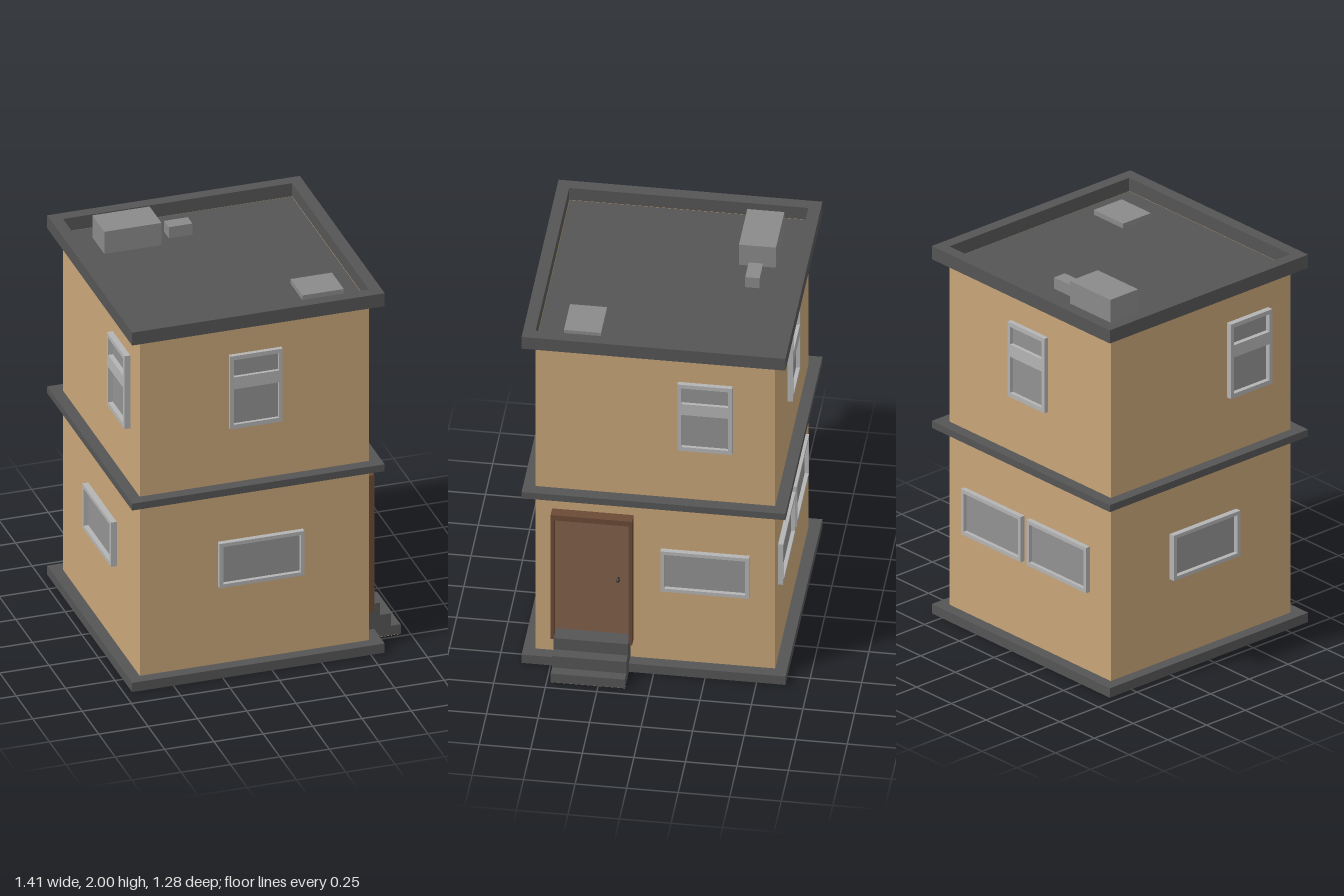
import * as THREE from 'three';

const X0 = -0.65, X1 = 0.51, Z = 0.58, CX = (X0 + X1) / 2, W = X1 - X0;
const ROOF = 1.88;
const mat = (color, side = THREE.FrontSide) => new THREE.MeshStandardMaterial({ color, side });
const M = {
  wall: mat(0xc8a578, THREE.DoubleSide),
  trim: mat(0x555555),
  frame: mat(0xb4b4b4),
  glass: mat(0x929292),
  vent: mat(0x8a8a8a),
  door: mat(0x80604a),
  doorFrame: mat(0x6b4a36),
  knob: mat(0x333333),
};

function add(parent, name, geo, material, x = 0, y = 0, z = 0) {
  const m = new THREE.Mesh(geo, material);
  m.name = name;
  m.position.set(x, y, z);
  parent.add(m);
  return m;
}

// box given by its minimum and maximum corners
function box(parent, name, material, a, b) {
  const s = b.map((v, i) => v - a[i]);
  return add(parent, name, new THREE.BoxGeometry(...s), material,
    (a[0] + b[0]) / 2, (a[1] + b[1]) / 2, (a[2] + b[2]) / 2);
}

function rect(C, x0, y0, x1, y1) {
  return new C([[x0, y0], [x1, y0], [x1, y1], [x0, y1]].map(p => new THREE.Vector2(...p)));
}

// rectangular plate with rectangular openings, extruded along +z
function plate(outer, holes, depth) {
  const s = rect(THREE.Shape, ...outer);
  holes.forEach(h => s.holes.push(rect(THREE.Path, ...h)));
  return new THREE.ExtrudeGeometry(s, { depth, bevelEnabled: false });
}

// horizontal trim running round the house
function band(parent, name, y0, y1, gap) {
  const o = 0.06;
  const geo = plate([X0 - o, -Z - o, X1 + o, Z + o], [[X0 - gap, -Z - gap, X1 + gap, Z + gap]], y1 - y0);
  geo.rotateX(-Math.PI / 2);
  add(parent, name, geo, M.trim, 0, y0, 0);
}

// window facing +z, centred on its own x = 0; the sash type has two panes
function windowUnit(name, sash, depth) {
  const g = new THREE.Group();
  g.name = name;
  const w = sash ? 0.133 : 0.215, y0 = sash ? 1.32 : 0.47, y1 = sash ? 1.715 : 0.71;
  const b = 0.019;
  const holes = sash
    ? [[-w + b, y0 + 0.023, w - b, 1.535], [-w + b, 1.6, w - b, y1 - 0.022]]
    : [[-w + b, y0 + b, w - b, y1 - b]];
  add(g, 'windowFrame', plate([-w, y0, w, y1], holes, depth), M.frame);
  holes.forEach(([a, c, d, e]) => add(g, 'windowPane',
    new THREE.PlaneGeometry(d - a, e - c), M.glass, (a + d) / 2, (c + e) / 2, 0.006));
  return g;
}

export function createModel() {
  const house = new THREE.Group();
  house.name = 'house';

  // walls, open underneath
  const walls = new THREE.Group();
  walls.name = 'walls';
  house.add(walls);
  const sides = [
    ['frontWall', W, CX, Z, 0], ['backWall', W, CX, -Z, Math.PI],
    ['leftWall', 2 * Z, X1, 0, Math.PI / 2], ['rightWall', 2 * Z, X0, 0, -Math.PI / 2],
  ];
  for (const [name, w, x, z, turn] of sides) {
    add(walls, name, new THREE.PlaneGeometry(w, ROOF), M.wall, x, ROOF / 2, z).rotation.y = turn;
  }

  // trim bands and sunken roof
  band(house, 'baseTrim', 0, 0.05, 0.002);
  band(house, 'middleTrim', 0.985, 1.022, 0.002);
  band(house, 'roofParapet', ROOF, 1.95, 0);
  box(house, 'roofDeck', M.trim, [X0 + 0.002, ROOF - 0.02, -Z + 0.002], [X1 - 0.002, ROOF, Z - 0.002]);

  // rooftop fittings
  box(house, 'roofUnit', M.vent, [-0.535, ROOF, -0.48], [-0.245, 2, -0.3]);
  box(house, 'roofVent', M.vent, [-0.19, ROOF, -0.425], [-0.07, 1.94, -0.355]);
  box(house, 'roofHatch', M.vent, [0.215, ROOF, 0.275], [0.425, 1.905, 0.455]);

  // windows: name, two panes, x, z, turn, depth
  const H = Math.PI / 2;
  const windows = [
    ['frontUpperWindow', true, -0.067, Z, 0, 0.022],
    ['frontLowerWindow', false, -0.04, Z, 0, 0.027],
    ['backUpperWindow', true, -0.067, -Z, 2 * H, 0.025],
    ['backLowerWindowA', false, 0.185, -Z, 2 * H, 0.025],
    ['backLowerWindowB', false, -0.285, -Z, 2 * H, 0.025],
    ['leftUpperWindow', true, X1, -0.243, H, 0.022],
    ['leftLowerWindow', false, X1, -0.243, H, 0.025],
    ['rightUpperWindow', true, X0, 0.303, -H, 0.03],
    ['rightLowerWindow', false, X0, 0.015, -H, 0.03],
  ];
  for (const [name, sash, x, z, turn, depth] of windows) {
    const g = windowUnit(name, sash, depth);
    g.position.set(x, 0, z);
    g.rotation.y = turn;
    house.add(g);
  }

  // door with surround and knob
  const door = new THREE.Group();
  door.name = 'door';
  house.add(door);
  box(door, 'doorPanel', M.door, [X1, 0.155, 0.12], [X1 + 0.008, 0.87, 0.485]);
  box(door, 'doorHead', M.doorFrame, [X1, 0.865, 0.105], [0.565, 0.895, 0.5]);
  for (const [z0, z1] of [[0.105, 0.121], [0.484, 0.5]]) {
    box(door, 'doorJamb', M.doorFrame, [X1, 0.155, z0], [0.565, 0.865, z1]);
  }
  const stem = add(door, 'knobStem', new THREE.CylinderGeometry(0.005, 0.005, 0.025, 10), M.knob, 0.528, 0.52, 0.177);
  stem.rotation.z = H;
  add(door, 'doorKnob', new THREE.SphereGeometry(0.01, 12, 8), M.knob, 0.542, 0.52, 0.177);

  // stepped entrance: one stair profile extruded across the door width
  const profile = [[X1, 0.001], [0.705, 0.001], [0.705, 0.052], [0.655, 0.052], [0.655, 0.12],
    [0.6, 0.12], [0.6, 0.187], [X1, 0.187]].map(p => new THREE.Vector2(...p));
  const steps = new THREE.ExtrudeGeometry(new THREE.Shape(profile), { depth: 0.36, bevelEnabled: false });
  add(house, 'entranceSteps', steps, M.trim, 0, 0, 0.12);
  const under = add(house, 'stepsUnderside', new THREE.PlaneGeometry(0.193, 0.36), M.wall, 0.608, 0, 0.3);
  under.rotation.x = H;

  return house;
}
